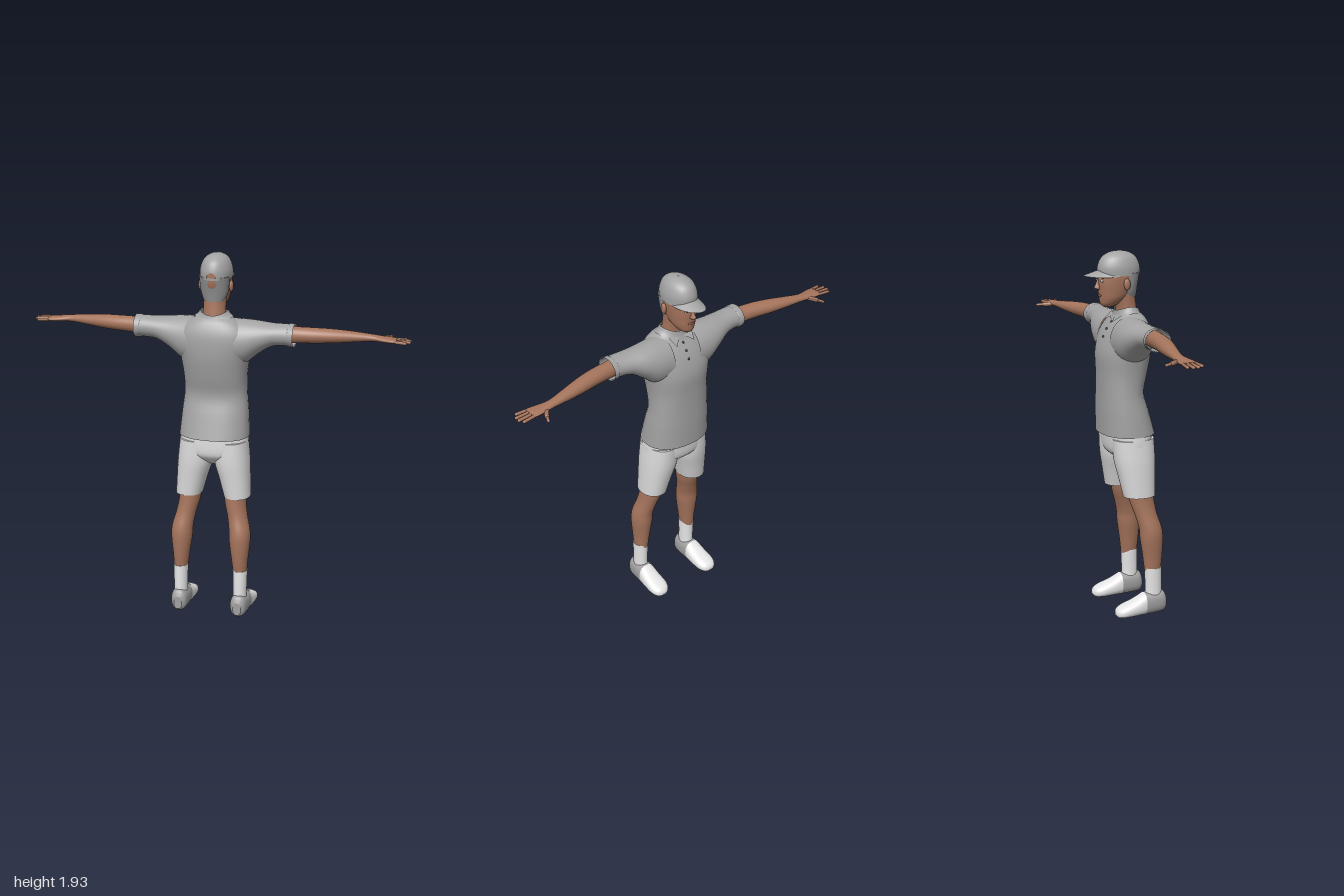
import * as THREE from 'three';

const mat = (name, color, side = THREE.FrontSide) =>
  Object.assign(new THREE.MeshStandardMaterial({ color, side }), { name });

// Ring placement for a loft running along each axis: (station, centre a, centre b, cos part, sin part)
const PLACE = {
  y: (t, cx, cz, u, v) => [cx + u, t, cz + v],
  x: (t, cy, cz, u, v) => [t, cy + v, cz + u],
  z: (t, cx, cy, u, v) => [cx + v, cy + u, t],
};

// Smooth resampling of the section rows
function resample(rows, steps) {
  const out = [];
  const at = (i) => rows[Math.min(Math.max(i, 0), rows.length - 1)];
  for (let i = 0; i < rows.length - 1; i++) {
    for (let k = 0; k < steps; k++) {
      const t = k / steps;
      out.push(at(i).map((b, c) => {
        const a = at(i - 1)[c], d = at(i + 1)[c], e = at(i + 2)[c];
        return b + 0.5 * t * (d - a + t * (2 * a - 5 * b + 4 * d - e + t * (3 * (b - d) + e - a)));
      }));
    }
  }
  out.push(rows[rows.length - 1]);
  return out;
}

// Loft of rounded sections: [station, centre a, centre b, cos radius, sin radius]
function loft(axis, rows, { power = 2, caps = true, steps = 4, n = 32 } = {}) {
  const rings = resample(rows, steps), pos = [], idx = [];
  const bend = (v) => Math.sign(v) * Math.abs(v) ** (2 / power);
  const ring = ([t, a, b, ru, rv]) => {
    for (let j = 0; j < n; j++) {
      const w = (j / n) * Math.PI * 2;
      pos.push(...PLACE[axis](t, a, b, ru * bend(Math.cos(w)), rv * bend(Math.sin(w))));
    }
  };
  rings.forEach(ring);
  for (let i = 0; i < rings.length - 1; i++) {
    for (let j = 0; j < n; j++) {
      const a = i * n + j, b = i * n + ((j + 1) % n);
      idx.push(a, a + n, b, b, a + n, b + n);
    }
  }
  if (caps) {
    [rings[0], rings[rings.length - 1]].forEach((r, end) => {
      const s = pos.length / 3;
      ring(r);
      pos.push(...PLACE[axis](r[0], r[1], r[2], 0, 0));
      for (let j = 0; j < n; j++) {
        const a = s + j, b = s + ((j + 1) % n);
        if (end) idx.push(a, s + n, b); else idx.push(a, b, s + n);
      }
    });
  }
  const g = new THREE.BufferGeometry();
  g.setAttribute('position', new THREE.Float32BufferAttribute(pos, 3));
  g.setIndex(idx);
  g.computeVertexNormals();
  return g;
}

// Copy reflected across x = 0 with its winding restored
function mirror(geo) {
  const g = geo.clone(), p = g.attributes.position, ix = g.index.array;
  for (let i = 0; i < p.count; i++) p.setX(i, -p.getX(i));
  for (let i = 0; i < ix.length; i += 3) [ix[i], ix[i + 1]] = [ix[i + 1], ix[i]];
  g.computeVertexNormals();
  return g;
}

const blob = (x, y, z, rx, ry, rz) =>
  new THREE.SphereGeometry(1, 16, 12).scale(rx, ry, rz).translate(x, y, z);

// Rounded rod between two points
function rod(a, b, r) {
  const p = new THREE.Vector3(...a), d = new THREE.Vector3(...b).sub(p), len = d.length();
  const q = new THREE.Quaternion().setFromUnitVectors(new THREE.Vector3(0, 1, 0), d.clone().normalize());
  return new THREE.CapsuleGeometry(r, len, 5, 10).applyQuaternion(q).translate(...p.addScaledVector(d, 0.5).toArray());
}

export function createModel() {
  const model = new THREE.Group();
  model.name = 'standingMan';
  const skin = mat('skin', 0xa5745c);
  const shirt = mat('shirtGrey', 0xa3a3a3, THREE.DoubleSide);
  const shorts = mat('shortsPale', 0xdadada);
  const white = mat('white', 0xebebeb);
  const heelGrey = mat('heelGrey', 0xa0a0a0);
  const hair = mat('hairGrey', 0x8f8f8f);
  const dark = mat('dark', 0x3a302c);
  const lip = mat('lip', 0x8c5a4c);
  const add = (name, geo, m) => {
    const mesh = new THREE.Mesh(geo, m);
    mesh.name = name;
    model.add(mesh);
  };
  const pair = (name, geo, m) => {
    add(name + 'Left', geo, m);
    add(name + 'Right', mirror(geo), m);
  };

  // Shirt body, sleeves and cuffs
  add('shirtBody', loft('y', [
    [0.98, 0, 0.033, 0.185, 0.143], [1.1, 0, 0.015, 0.176, 0.127], [1.2, 0, 0.002, 0.166, 0.113],
    [1.3, 0, 0.012, 0.167, 0.123], [1.4, 0, 0.02, 0.182, 0.132], [1.48, 0, 0.032, 0.2, 0.122],
    [1.54, 0, 0.043, 0.185, 0.103], [1.59, 0, 0.05, 0.13, 0.075], [1.615, 0, 0.045, 0.08, 0.056],
  ], { power: 2.3 }), shirt);
  pair('sleeve', loft('x', [
    [0.08, 1.475, 0.03, 0.115, 0.127], [0.16, 1.485, 0.022, 0.105, 0.115], [0.23, 1.51, 0.022, 0.09, 0.085],
    [0.3, 1.53, 0.03, 0.073, 0.06], [0.36, 1.535, 0.035, 0.065, 0.056], [0.415, 1.535, 0.035, 0.065, 0.055],
  ], { caps: false }), shirt);
  pair('cuff', loft('x', [
    [0.388, 1.535, 0.035, 0.066, 0.056], [0.392, 1.535, 0.035, 0.069, 0.059], [0.418, 1.535, 0.035, 0.069, 0.059],
  ], { caps: false, steps: 1 }), shirt);

  // Collar, raised at the sides, with two front points
  const collar = loft('y', [
    [1.575, 0, 0.045, 0.1, 0.085], [1.6, 0, 0.042, 0.084, 0.07], [1.625, 0, 0.04, 0.073, 0.063],
  ], { caps: false });
  const cp = collar.attributes.position;
  for (let i = 0; i < cp.count; i++) cp.setY(i, cp.getY(i) + 4 * cp.getX(i) ** 2);
  collar.computeVertexNormals();
  add('collar', collar, shirt);
  const point = new THREE.ShapeGeometry(new THREE.Shape([[0.005, 0.02], [0.075, 0.03], [0.055, -0.035]].map((p) => new THREE.Vector2(...p))));
  pair('collarPoint', point.rotateX(0.95).translate(0, 1.59, -0.036), shirt);
  [[1.565, -0.042], [1.53, -0.069], [1.49, -0.088]].forEach(([y, z], i) =>
    add('button' + (i + 1), blob(0, y, z, 0.006, 0.006, 0.006), dark));

  // Shorts
  add('shortsSeat', loft('y', [
    [0.83, 0, 0.045, 0.03, 0.05], [0.87, 0, 0.043, 0.14, 0.1], [0.91, 0, 0.042, 0.182, 0.117], [1.0, 0, 0.037, 0.176, 0.116],
  ], { power: 2.3 }), shorts);
  pair('shortsLeg', loft('y', [
    [0.655, 0.13, 0.06, 0.07, 0.085], [0.75, 0.115, 0.053, 0.081, 0.097],
    [0.85, 0.098, 0.046, 0.093, 0.11], [0.96, 0.092, 0.04, 0.088, 0.112],
  ], { power: 2.2 }), shorts);

  // Legs, socks and shoes
  pair('leg', loft('y', [
    [0.22, 0.163, 0.125, 0.034, 0.042], [0.32, 0.16, 0.125, 0.044, 0.053], [0.42, 0.158, 0.12, 0.056, 0.062],
    [0.48, 0.155, 0.114, 0.056, 0.061], [0.55, 0.14, 0.095, 0.053, 0.06], [0.62, 0.125, 0.079, 0.056, 0.066],
    [0.72, 0.115, 0.065, 0.06, 0.07],
  ]), skin);
  pair('sock', loft('y', [[0.08, 0.163, 0.13, 0.036, 0.046], [0.15, 0.163, 0.13, 0.036, 0.045], [0.258, 0.163, 0.127, 0.039, 0.047]]), white);
  pair('shoeFront', loft('z', [
    [-0.088, 0.168, 0.025, 0.008, 0.014], [-0.075, 0.168, 0.028, 0.024, 0.038], [-0.04, 0.167, 0.035, 0.034, 0.054],
    [0.02, 0.166, 0.046, 0.045, 0.054], [0.075, 0.165, 0.061, 0.06, 0.05],
  ], { power: 2.4 }), white);
  pair('shoeHeel', loft('z', [
    [0.075, 0.165, 0.061, 0.06, 0.05], [0.13, 0.164, 0.062, 0.06, 0.048], [0.18, 0.163, 0.064, 0.058, 0.041], [0.2, 0.163, 0.055, 0.035, 0.022],
  ], { power: 2.4 }), heelGrey);

  // Arms and hands, palms down
  pair('arm', loft('x', [
    [0.34, 1.535, 0.035, 0.042, 0.044], [0.5, 1.536, 0.018, 0.044, 0.04], [0.6, 1.535, 0, 0.043, 0.036],
    [0.7, 1.533, -0.02, 0.035, 0.028], [0.8, 1.53, -0.036, 0.027, 0.018], [0.86, 1.526, -0.035, 0.036, 0.015],
    [0.91, 1.524, -0.032, 0.042, 0.013], [0.925, 1.523, -0.032, 0.038, 0.008],
  ]), skin);
  [[-0.062, -0.07, 0.978], [-0.042, -0.046, 0.992], [-0.022, -0.021, 0.99], [-0.003, 0.006, 0.972]].forEach(([z0, z1, x], i) =>
    pair('finger' + (i + 1), rod([0.9, 1.524, z0], [x, 1.521, z1], 0.0085), skin));
  pair('thumb', rod([0.84, 1.523, -0.05], [0.87, 1.52, -0.098], 0.012), skin);
  pair('thumbTip', rod([0.87, 1.52, -0.098], [0.885, 1.518, -0.132], 0.008), skin);

  // Neck, head and face
  add('neck', loft('y', [
    [1.52, 0, 0.045, 0.07, 0.06], [1.62, 0, 0.04, 0.06, 0.054], [1.68, 0, 0.03, 0.058, 0.056], [1.75, 0, 0.02, 0.06, 0.06],
  ]), skin);
  add('head', loft('y', [
    [1.645, 0, -0.06, 0.018, 0.025], [1.66, 0, -0.052, 0.038, 0.05], [1.69, 0, -0.033, 0.058, 0.075], [1.725, 0, -0.018, 0.068, 0.094],
    [1.77, 0, -0.008, 0.076, 0.108], [1.82, 0, -0.003, 0.079, 0.108], [1.87, 0, 0, 0.07, 0.095],
  ]), skin);
  add('nose', loft('y', [[1.736, 0, -0.108, 0.01, 0.012], [1.744, 0, -0.115, 0.015, 0.022], [1.765, 0, -0.113, 0.009, 0.016], [1.795, 0, -0.108, 0.006, 0.009]]), skin);
  add('lips', blob(0, 1.706, -0.107, 0.022, 0.007, 0.007), lip);
  pair('ear', blob(0.081, 1.765, 0.012, 0.011, 0.03, 0.018), skin);
  pair('eye', blob(0.031, 1.782, -0.107, 0.013, 0.006, 0.006), white);
  pair('pupil', blob(0.031, 1.782, -0.111, 0.005, 0.005, 0.004), dark);
  pair('brow', blob(0.032, 1.8, -0.105, 0.017, 0.003, 0.006), dark);
  add('hair', loft('y', [[1.695, 0, 0.045, 0.054, 0.044], [1.74, 0, 0.036, 0.071, 0.058], [1.82, 0, 0.042, 0.079, 0.065]]), hair);

  // Cap with brim and rear opening
  add('capCrown', loft('y', [
    [1.808, 0, -0.002, 0.083, 0.113], [1.85, 0, -0.003, 0.082, 0.113], [1.89, 0, -0.003, 0.069, 0.097],
    [1.913, 0, -0.003, 0.05, 0.071], [1.926, 0, -0.003, 0.026, 0.038], [1.93, 0, -0.003, 0.001, 0.001],
  ]), shirt);
  const brim = new THREE.PlaneGeometry(1, 1, 24, 6), bp = brim.attributes.position;
  for (let i = 0; i < bp.count; i++) {
    const a = bp.getX(i) * Math.PI, v = bp.getY(i) + 0.5, c = Math.cos(a), s = Math.sin(a);
    bp.setXYZ(i, 0.08 * s, 1.838 - 0.028 * v * c - 0.028 * s * s, -(0.1 + 0.096 * v) * c);
  }
  brim.computeVertexNormals();
  add('capBrim', brim, shirt);
  add('capOpening', new THREE.CircleGeometry(0.026, 20, 0, Math.PI).translate(0, 1.82, 0.1135), skin);
  add('capButton', blob(0, 1.929, -0.003, 0.007, 0.003, 0.007), shirt);
  return model;
}
